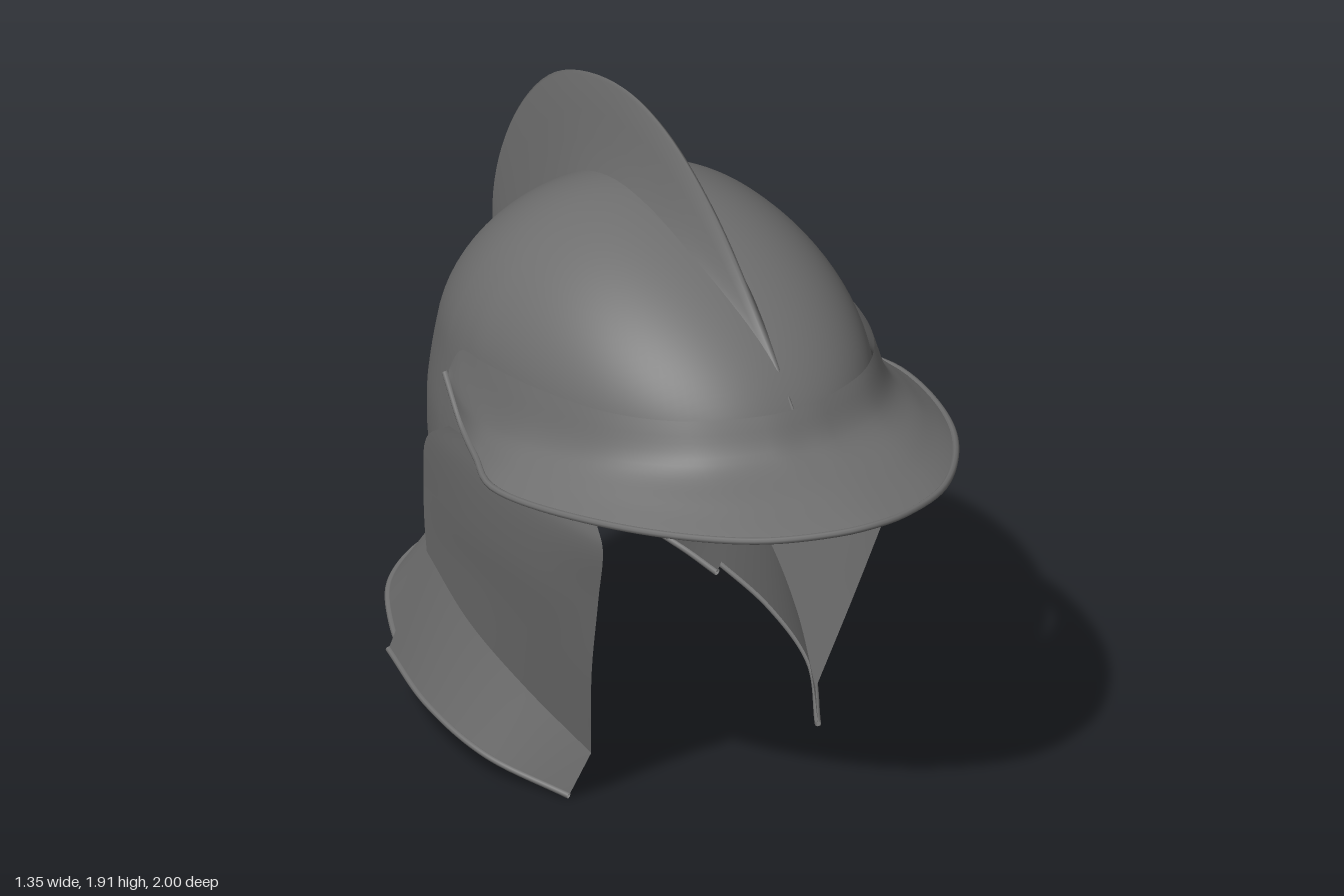
import * as THREE from 'three';
import { mergeVertices } from 'three/addons/utils/BufferGeometryUtils.js';

const V = (p) => new THREE.Vector3(...p);
const steel = new THREE.MeshStandardMaterial({ color: 0x6e6e6e, side: THREE.DoubleSide });
steel.name = 'steel';

// linear lookup in a table of [key, value]
function lookup(table, k) {
  if (k <= table[0][0]) return table[0][1];
  for (let i = 1; i < table.length; i++) {
    const [a, va] = table[i - 1], [b, vb] = table[i];
    if (k <= b) return va + (vb - va) * (k - a) / (b - a);
  }
  return table[table.length - 1][1];
}

// smooth curve sampled evenly between its points
const smooth = (pts, n) => new THREE.CatmullRomCurve3(pts, false, 'centripetal').getPoints(n);

// surface through rows of equally many points
function skin(name, rows) {
  const n = rows[0].length, index = [];
  for (let i = 0; i < rows.length - 1; i++) {
    for (let j = 0; j < n - 1; j++) {
      const a = i * n + j;
      index.push(a, a + n, a + 1, a + 1, a + n, a + n + 1);
    }
  }
  let geo = new THREE.BufferGeometry().setFromPoints(rows.flat());
  geo.setIndex(index);
  geo = mergeVertices(geo);
  geo.computeVertexNormals();
  const mesh = new THREE.Mesh(geo, steel);
  mesh.name = name;
  return mesh;
}

// refine control rows along and across
function refine(rows, along, across) {
  const fine = rows.map((r) => smooth(r, along));
  const cols = fine[0].map((_, j) => smooth(fine.map((r) => r[j]), across));
  return cols[0].map((_, i) => cols.map((c) => c[i]));
}

// mirror a half curve that starts on the centre plane
const mirrored = (pts) => [...pts.slice(1).reverse().map(([x, y, z]) => V([-x, y, z])), ...pts.map(V)];

// thin rolled rim
function rim(name, pts, r) {
  const mesh = new THREE.Mesh(
    new THREE.TubeGeometry(new THREE.CatmullRomCurve3(pts), 90, r, 8), steel);
  mesh.name = name;
  return mesh;
}

// skull: horizontal sections, squarish ellipses with separate front and back depth
const TOP = 1.67, ZC = -0.18;
const lowWidth = [[0.5, 0.5], [0.62, 0.515], [0.8, 0.532], [1.0, 0.54], [1.2, 0.525]];
const skullEdge = [[0, 1.12], [25, 1.1], [40, 1.03], [52, 0.97], [95, 0.97], [108, 0.54], [125, 0.545], [150, 0.59], [180, 0.62]];
const edgeY = (deg) => lookup(skullEdge, deg > 180 ? 360 - deg : Math.abs(deg));
function skullPoint(deg, y) {
  const t = THREE.MathUtils.degToRad(deg), s = Math.sin(t), c = Math.cos(t);
  const k = THREE.MathUtils.clamp((y - 1.2) / (TOP - 1.2), 0, 1);
  const kb = THREE.MathUtils.clamp((y - 0.88) / (TOP - 0.88), 0, 1);
  const w = y > 1.2 ? 0.525 * Math.sqrt(1 - k * k) : lookup(lowWidth, y);
  const front = 0.79 * Math.pow(1 - Math.pow(k, 1.6), 0.6);
  const back = y > 0.88 ? 0.64 * Math.sqrt(1 - kb * kb) : 0.64 - 0.06 * Math.pow((0.88 - y) / 0.26, 1.4);
  const bulge = (v) => Math.sign(v) * Math.pow(Math.abs(v), 2 / 2.2);
  return new THREE.Vector3(w * bulge(s), y, ZC + (c > 0 ? front : back) * bulge(c));
}

function skull() {
  const rows = [];
  for (let i = 0; i <= 36; i++) {
    const f = Math.cos(i / 36 * Math.PI / 2), row = [];
    for (let j = 0; j <= 120; j++) {
      const deg = -180 + j * 3, yb = edgeY(deg);
      row.push(skullPoint(deg, yb + (TOP - yb) * f));
    }
    rows.push(row);
  }
  return skin('skull', rows);
}

// tall comb running over the crown: [z, y] of crest and base, base half width
function comb() {
  const crest = [[0.585, 1.285], [0.46, 1.43], [0.19, 1.71], [-0.07, 1.87], [-0.31, 1.91], [-0.61, 1.82],
    [-0.82, 1.6], [-0.92, 1.33], [-0.89, 1.04], [-0.815, 0.8], [-0.76, 0.62]];
  const base = [[0.56, 1.28], [0.43, 1.42], [0.19, 1.57], [0, 1.635], [-0.2, 1.66], [-0.41, 1.6],
    [-0.59, 1.45], [-0.73, 1.23], [-0.79, 1.0], [-0.785, 0.8], [-0.75, 0.62]];
  const half = [0.015, 0.04, 0.058, 0.06, 0.058, 0.055, 0.052, 0.05, 0.045, 0.03, 0.012];
  const section = [[-1, 0], [-0.8, 0.15], [-0.6, 0.35], [-0.38, 0.63], [-0.15, 0.97], [0, 1],
    [0.15, 0.97], [0.38, 0.63], [0.6, 0.35], [0.8, 0.15], [1, 0]];
  const rows = section.map(([q, h]) => smooth(crest.map(([z, y], i) => V([
    q * half[i], base[i][1] + (y - base[i][1]) * h, base[i][0] + (z - base[i][0]) * h])), 70));
  return skin('comb', rows);
}

// brow plate sweeping out into the peak
function peak() {
  const top = [[0, 1.29, 0.588], [0.1, 1.29, 0.575], [0.29, 1.29, 0.49], [0.425, 1.285, 0.33],
    [0.51, 1.28, 0.08], [0.534, 1.27, -0.15], [0.53, 1.255, -0.27], [0.537, 1.17, -0.325]];
  const crease = [[0, 1.19, 0.655], [0.1, 1.19, 0.645], [0.29, 1.185, 0.565], [0.45, 1.17, 0.38],
    [0.545, 1.14, 0.1], [0.563, 1.12, -0.08], [0.56, 1.13, -0.22], [0.541, 1.17, -0.325]];
  const edge = [[0, 1.105, 0.99], [0.11, 1.1, 0.97], [0.31, 1.085, 0.86], [0.54, 1.06, 0.55],
    [0.663, 1.025, 0.1], [0.61, 1.035, -0.07], [0.565, 1.06, -0.21], [0.545, 1.17, -0.325]];
  const mid = crease.map((p, i) => p.map((v, k) => (v + edge[i][k]) / 2 - (k === 1 ? 0.008 : 0)));
  const group = new THREE.Group();
  group.name = 'peak';
  group.add(skin('peakPlate', refine([top, crease, mid, edge].map(mirrored), 112, 18)));
  group.add(rim('peakRim', mirrored(edge), 0.01));
  return group;
}

// flared tail over the neck
function neckGuard() {
  const edge = mirrored([[0, 0.305, -0.99], [0.14, 0.3, -0.975], [0.27, 0.29, -0.93], [0.39, 0.26, -0.845],
    [0.465, 0.21, -0.71], [0.505, 0.17, -0.58]]).reverse();
  const low = smooth(edge, 48);
  const high = low.map((_, j) => skullPoint(108 + j * 3, edgeY(108 + j * 3)));
  const rows = [0, 0.25, 0.5, 0.75, 1].map((f) => high.map((p, j) => p.clone().lerp(low[j], f)));
  const group = new THREE.Group();
  group.name = 'neckGuard';
  group.add(skin('neckPlate', rows), rim('neckRim', edge, 0.01));
  return group;
}

// cheek plate with a flared lower band; side is 1 (left) or -1 (right)
function cheek(side) {
  const upper = [
    [[0.495, 0.975, 0.36], [0.55, 1.01, 0.08], [0.568, 1.035, -0.12], [0.562, 1.03, -0.28]],
    [[0.495, 0.92, 0.388], [0.55, 0.93, 0.1], [0.566, 0.94, -0.15], [0.545, 0.93, -0.42]],
    [[0.465, 0.72, 0.32], [0.525, 0.74, 0.08], [0.543, 0.75, -0.2], [0.515, 0.75, -0.48]],
    [[0.425, 0.45, 0.225], [0.485, 0.52, 0], [0.512, 0.58, -0.25], [0.495, 0.61, -0.505]],
    [[0.365, 0.15, 0.13], [0.44, 0.28, -0.08], [0.485, 0.405, -0.3], [0.485, 0.53, -0.51]]];
  const crease = upper[4];
  const bottom = [[0.405, 0.01, 0.08], [0.525, 0.07, -0.15], [0.555, 0.13, -0.4], [0.525, 0.19, -0.64]];
  const place = (row) => {
    const r = row.map(([x, y, z]) => V([x * side, y, z]));
    return side > 0 ? r : r.reverse();
  };
  const group = new THREE.Group();
  group.name = side > 0 ? 'leftCheek' : 'rightCheek';
  group.add(
    skin('cheekPlate', refine(upper.map(place), 30, 30)),
    skin('cheekFlare', refine([crease, bottom].map(place), 30, 6)),
    rim('cheekRim', place(bottom), 0.009));
  return group;
}

export function createModel() {
  const model = new THREE.Group();
  model.name = 'helmet';
  model.add(skull(), comb(), peak(), neckGuard(), cheek(1), cheek(-1));
  return model;
}
